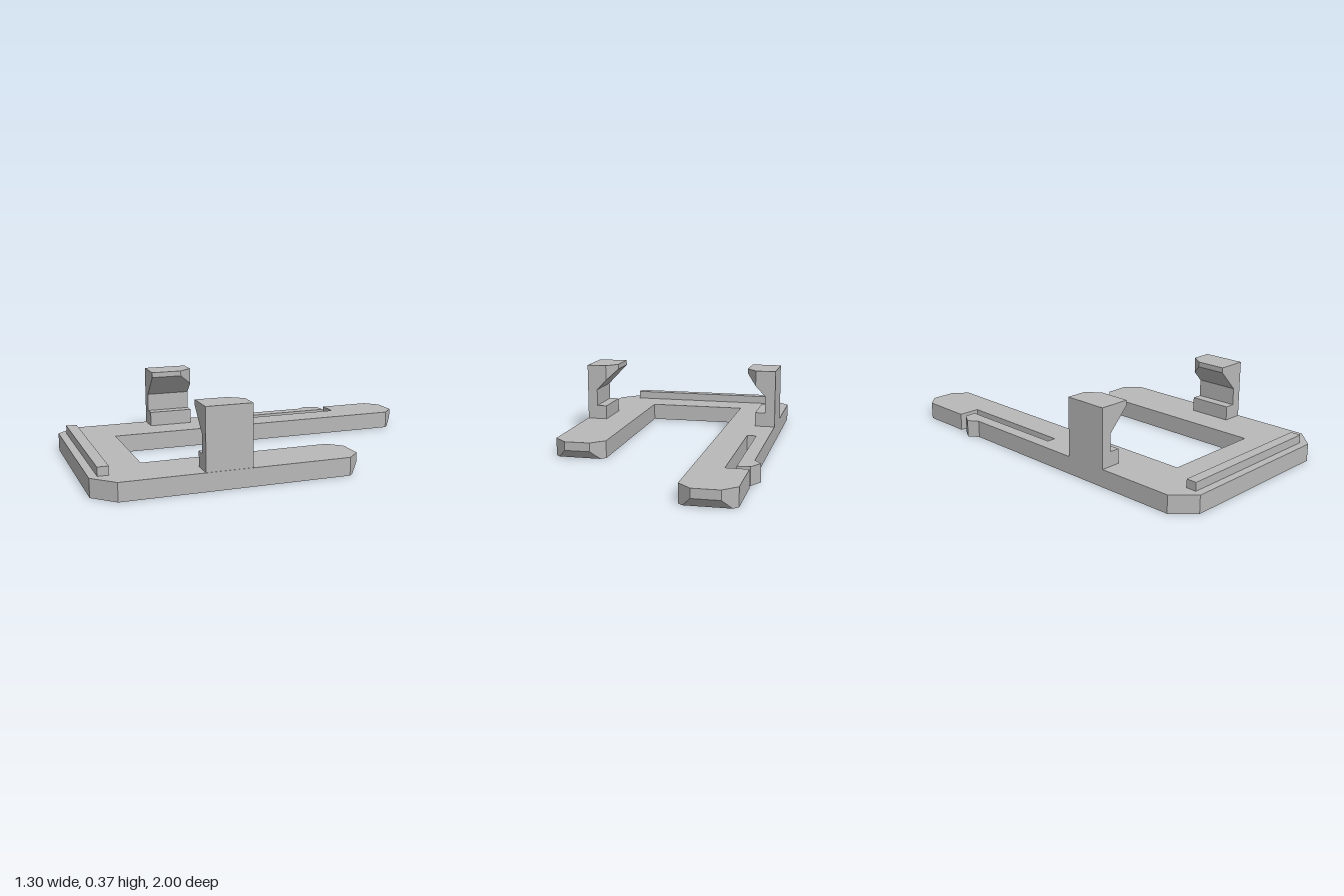
import * as THREE from 'three';

const ANGLE = -0.36; // the whole bracket is turned about y
const grey = new THREE.MeshStandardMaterial({ color: 0xb8b8b8 });
grey.name = 'plain grey';

function part(geometry, name) {
  const g = geometry.index ? geometry.toNonIndexed() : geometry;
  g.computeVertexNormals();
  const mesh = new THREE.Mesh(g, grey);
  mesh.name = name;
  return mesh;
}

function extrude(points, depth, steps = 1) {
  const shape = new THREE.Shape(points.map(([x, y]) => new THREE.Vector2(x, y)));
  return new THREE.ExtrudeGeometry(shape, { depth, steps, bevelEnabled: false });
}

// Upright slab from an [x, z] outline
function slab(outline, y0, height, steps) {
  return extrude(outline.map(([x, z]) => [x, -z]), height, steps)
    .rotateX(-Math.PI / 2).translate(0, y0, 0);
}

// Hook: side 1 reaches toward +x, side -1 toward -x
function createHook(name, x, z, side) {
  const length = 0.213;
  const hook = new THREE.Group();
  hook.name = name;
  const profile = pts => pts.map(([u, y]) => [side * u, y]);
  const post = extrude(profile([
    [0, 0.08], [0.1, 0.08], [0.1, 0.155], [0.05, 0.155],
    [0.05, 0.24], [0.1, 0.2925], [0.1, 0.37], [0, 0.37],
  ]), length).translate(0, 0, -length);

  // Lip with its rear corner cut off at a slant
  const lip = extrude(profile([[0.1, 0.2925], [0.15, 0.345], [0.15, 0.37], [0.1, 0.37]]), length)
    .translate(0, 0, -length);
  const p = lip.attributes.position;
  for (let i = 0; i < p.count; i++) {
    if (p.getZ(i) < -0.1) p.setZ(i, -length + (Math.abs(p.getX(i)) - 0.1) * 1.28);
  }
  hook.add(part(post, name + 'Post'), part(lip, name + 'Lip'));
  hook.position.set(x, 0, z);
  hook.rotation.y = ANGLE;
  return hook;
}

export function createModel() {
  const model = new THREE.Group();
  model.name = 'clipBracket';

  // Arm tips: side corner, end corner, end corner, side corner
  const shortTip = [[0.65, -0.05], [0.612, -0.133], [0.495, -0.175], [0.415, -0.14]];
  const longTip = [[0.16, -0.88], [0.122, -0.958], [0.005, -1], [-0.072, -0.965]];

  // U-shaped base with the slot and springy latch on the long arm
  const outline = [
    [-0.653, 0.59], [-0.6, 0.713], [0.153, 0.997], [0.28, 0.94],
    ...shortTip, [0.102, 0.705], [-0.367, 0.53],
    ...longTip, [-0.163, -0.722], [-0.064, -0.685],
    [-0.274, -0.122], [-0.315, -0.138], [-0.118, -0.668],
    [-0.175, -0.685], [-0.23, -0.64], [-0.215, -0.583],
  ];
  const base = slab(outline, 0, 0.085, 2);

  // Bevel the underside of both arm ends
  const p = base.attributes.position;
  for (const tip of [shortTip, longTip]) {
    for (const [end, corner] of [[tip[1], tip[0]], [tip[2], tip[3]]]) {
      for (let i = 0; i < p.count; i++) {
        if (p.getY(i) < 0.01 && Math.hypot(p.getX(i) - end[0], p.getZ(i) - end[1]) < 0.002) {
          p.setX(i, THREE.MathUtils.lerp(end[0], corner[0], 0.65));
          p.setZ(i, THREE.MathUtils.lerp(end[1], corner[1], 0.65));
        }
      }
    }
  }
  model.add(part(base, 'base'));

  // Raised rail along the front edge
  const rail = [[-0.553, 0.637], [-0.572, 0.684], [0.153, 0.957], [0.171, 0.91]];
  model.add(part(slab(rail, 0.08, 0.045, 1), 'frontRail'));

  model.add(createHook('rightHook', -0.523, 0.24, 1));
  model.add(createHook('leftHook', 0.41, 0.585, -1));
  return model;
}
